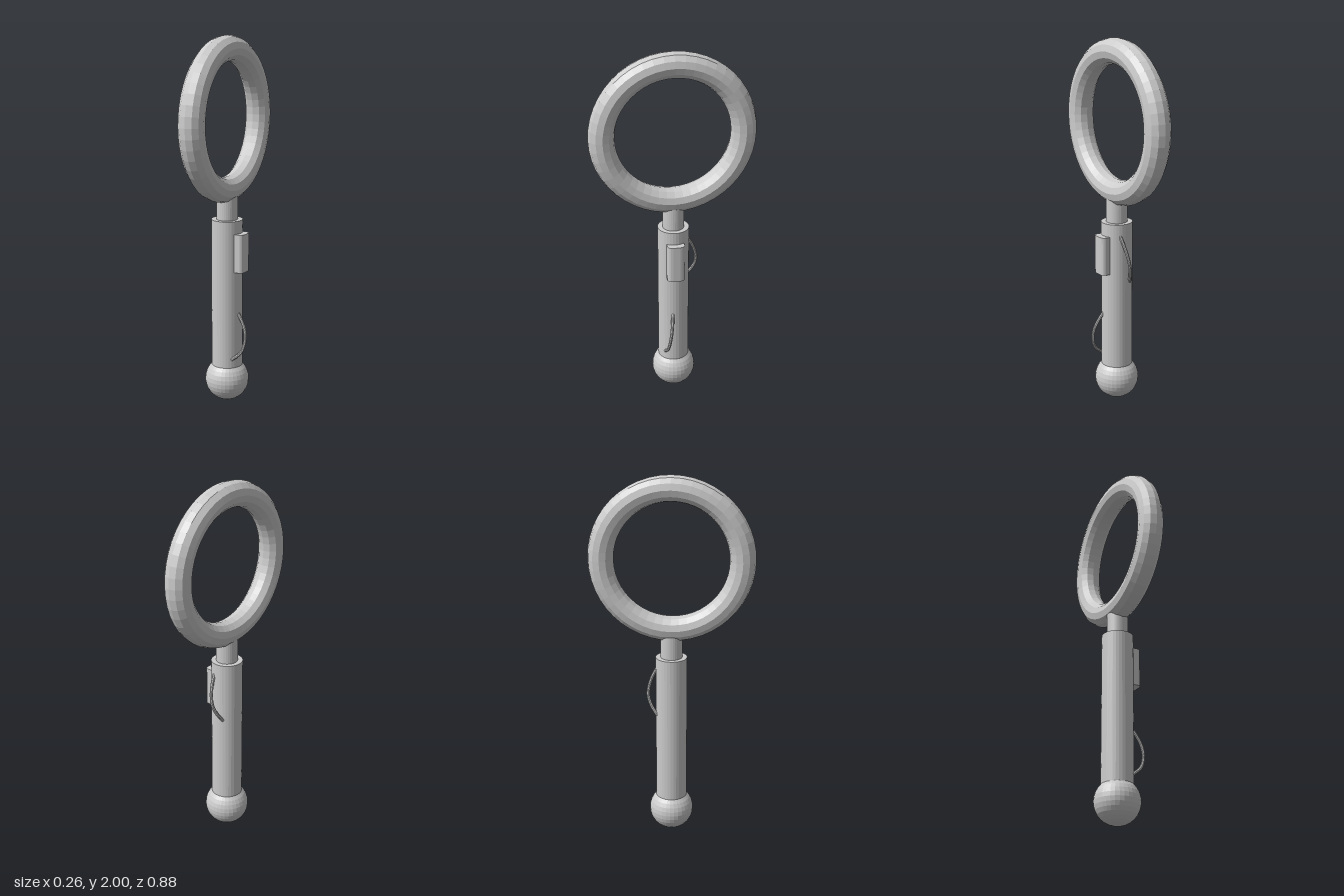
import * as THREE from 'three';

const AXIS_X = -0.012;

export function createModel() {
  const model = new THREE.Group();
  const material = new THREE.MeshStandardMaterial({ color: 0xcccccc, flatShading: true });

  const add = (name, geometry, x, y, z) => {
    const mesh = new THREE.Mesh(geometry, material);
    mesh.name = name;
    mesh.position.set(x, y, z);
    model.add(mesh);
    return mesh;
  };

  // Round pommel, grip and neck stacked on one axis
  add('pommel', new THREE.SphereGeometry(0.121, 32, 16), AXIS_X, 0.122, 0);
  add('handle', new THREE.CylinderGeometry(0.085, 0.085, 0.85, 32), AXIS_X, 0.605, 0);
  add('neck', new THREE.CylinderGeometry(0.058, 0.058, 0.18, 32), AXIS_X, 1.1, 0);

  // Ring standing in the side plane
  add('ring', new THREE.TorusGeometry(0.37, 0.068, 12, 48), AXIS_X, 1.562, 0).rotation.y = Math.PI / 2;

  // Button: a block with rounded outer upright edges
  const profile = new THREE.Shape();
  profile.moveTo(0.02, -0.047);
  profile.lineTo(0.085, -0.047);
  profile.quadraticCurveTo(0.105, -0.045, 0.107, -0.02);
  profile.lineTo(0.107, 0.02);
  profile.quadraticCurveTo(0.105, 0.045, 0.085, 0.047);
  profile.lineTo(0.02, 0.047);
  profile.closePath();
  const buttonGeometry = new THREE.ExtrudeGeometry(profile, { depth: 0.21, bevelEnabled: false, curveSegments: 4 });
  buttonGeometry.rotateX(-Math.PI / 2);
  add('button', buttonGeometry, 0, 0.75, 0.002);

  // Bowed wires: both ends sink into the grip
  const addWire = (name, points) => {
    const path = new THREE.CatmullRomCurve3(points.map((p) => new THREE.Vector3(...p)));
    add(name, new THREE.TubeGeometry(path, 24, 0.009, 8), 0, 0, 0);
  };
  addWire('sideWire', [
    [0.06, 0.52, 0.014], [0.09, 0.475, 0.022], [0.113, 0.425, 0.03],
    [0.119, 0.37, 0.039], [0.1, 0.305, 0.048], [0.045, 0.255, 0.056],
  ]);
  addWire('backWire', [
    [0.014, 0.965, -0.074], [0.007, 0.92, -0.099], [-0.002, 0.87, -0.118],
    [-0.014, 0.81, -0.126], [-0.028, 0.755, -0.11], [-0.046, 0.7, -0.074],
  ]);

  return model;
}
